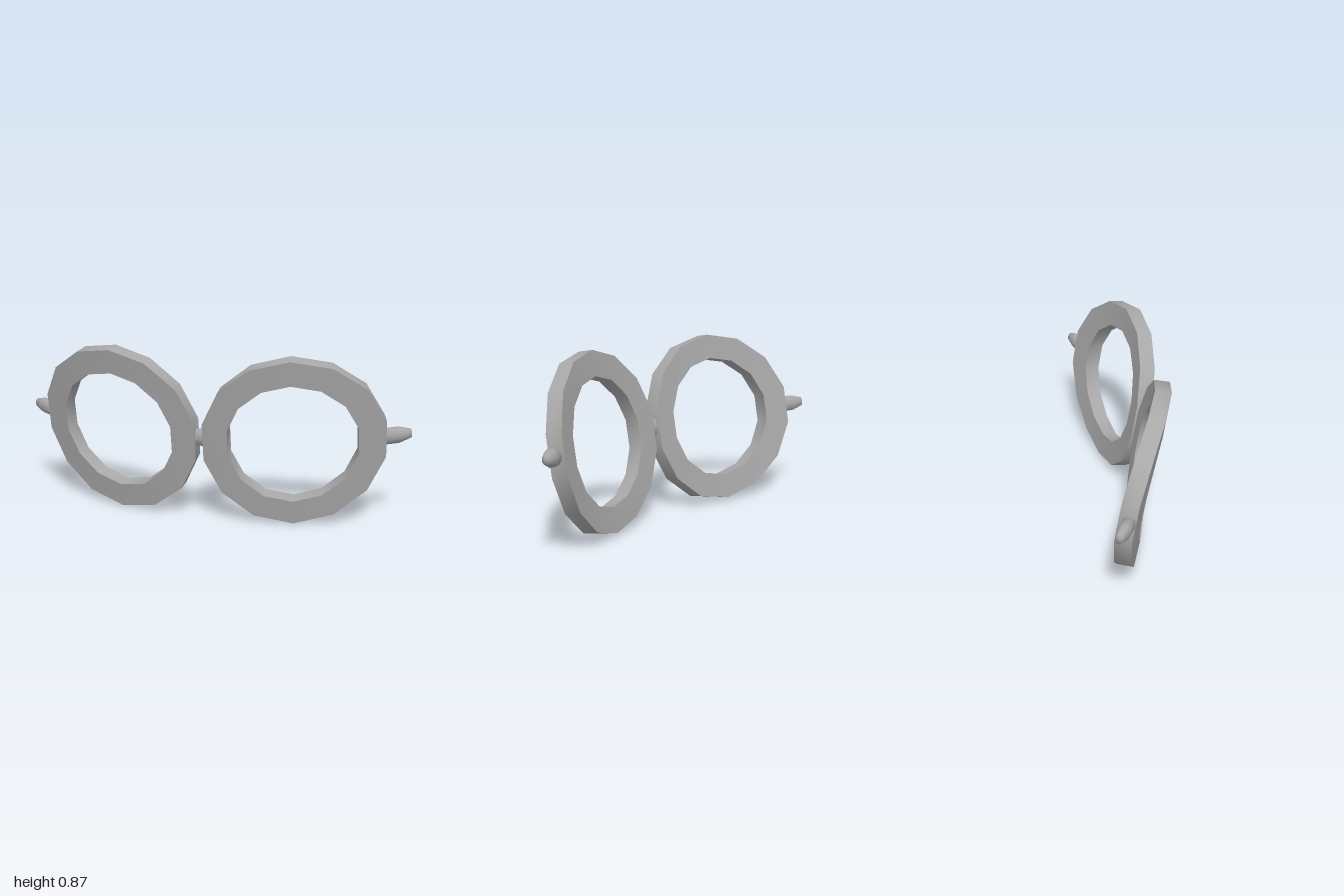
import * as THREE from 'three';
import { mergeGeometries } from 'three/addons/utils/BufferGeometryUtils.js';

const SIDES = 14;
const CENTER_X = 0.4525;
const BEND = 2;          // radius of the wrap-around curve
const THICK = 0.075;

// Depth of the curved front at a given x
const curve = (x) => Math.sqrt(BEND * BEND - x * x) - Math.sqrt(BEND * BEND - CENTER_X * CENTER_X);

// One 14-sided loop of a rim, wrapped around the curve; side is 1 or -1
function loop(radius, back, side) {
  const points = [];
  for (let i = 0; i < SIDES; i++) {
    const a = Math.PI / 2 + (i / SIDES) * Math.PI * 2;
    const x = CENTER_X + Math.cos(a) * radius * 1.022;
    const z = curve(x);
    points.push([side * x * (back ? 0.974 : 1), Math.sin(a) * radius, back ? z - THICK : z]);
  }
  return points;
}

// Closed band between two loops, smooth along its length
function band(a, b, side) {
  const index = [];
  for (let i = 0; i < SIDES; i++) {
    const j = (i + 1) % SIDES;
    const p = i, q = SIDES + i, r = SIDES + j, s = j;
    if (side > 0) index.push(p, q, r, p, r, s);
    else index.push(p, r, q, p, s, r);
  }
  const geometry = new THREE.BufferGeometry();
  geometry.setAttribute('position', new THREE.Float32BufferAttribute([...a, ...b].flat(), 3));
  geometry.setIndex(index);
  geometry.computeVertexNormals();
  return geometry;
}

function rimGeometry(side) {
  const frontOuter = loop(0.434, false, side);
  const backOuter = loop(0.434, true, side);
  const frontInner = loop(0.31, false, side);
  const backInner = loop(0.31, true, side);
  return mergeGeometries([
    band(frontOuter, backOuter, side),
    band(frontInner, frontOuter, side),
    band(backInner, frontInner, side),
    band(backOuter, backInner, side),
  ]);
}

export function createModel() {
  const model = new THREE.Group();
  model.name = 'spectacles';
  const grey = new THREE.MeshStandardMaterial({ color: 0xa8a8a8 });
  grey.name = 'grey';

  // The whole frame leans forward at the top
  const frame = new THREE.Group();
  frame.name = 'frame';
  frame.position.set(0, 0.4325, 0.075);
  frame.rotation.x = THREE.MathUtils.degToRad(10);
  model.add(frame);

  const add = (name, geometry, parent = frame) => {
    const mesh = new THREE.Mesh(geometry, grey);
    mesh.name = name;
    parent.add(mesh);
    return mesh;
  };

  // Tapered stub, laid along +x
  const profile = [[0, 0], [0.042, 0], [0.042, 0.08], [0.023, 0.14], [0, 0.14]]
    .map(([r, y]) => new THREE.Vector2(r, y));
  const stub = new THREE.LatheGeometry(profile, 10);
  stub.rotateZ(-Math.PI / 2);
  stub.scale(1, 1, 0.75);

  for (const side of [1, -1]) {
    const label = side > 0 ? 'left' : 'right';
    add(label + 'Rim', rimGeometry(side));

    // Short temple stub sweeping backward
    const hinge = add(label + 'TempleStub', stub);
    hinge.position.set(side * 0.865, 0, -0.18);
    hinge.rotation.y = side > 0 ? 0.47 : Math.PI - 0.47;
  }

  // Bridge between the rims
  const bridge = new THREE.CylinderGeometry(0.047, 0.047, 0.07, 8);
  bridge.rotateZ(Math.PI / 2);
  bridge.scale(1, 1, 0.6);
  add('bridge', bridge).position.set(0, 0.01, 0.014);

  return model;
}
